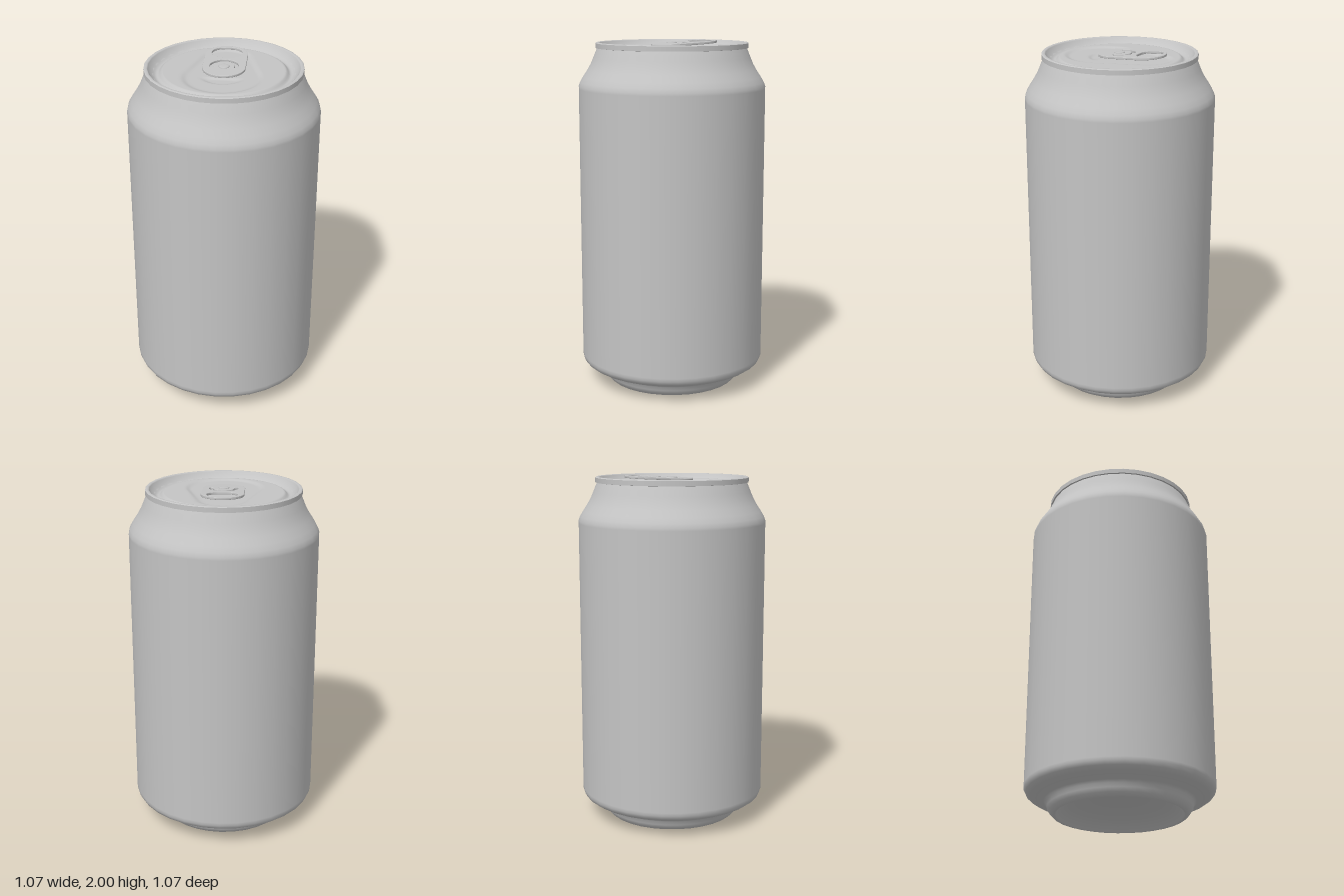
import * as THREE from 'three';

const SIDES = 32;

const smooth = (a, b, x) => THREE.MathUtils.smoothstep(x, a, b);

// Signed distance to a capsule along z with a narrow back end and a wide front end
function teardropDistance(x, z) {
  const back = -0.17, r1 = 0.14, r2 = 0.215, h = 0.27;
  const px = Math.abs(x), pz = z - back;
  const b = (r1 - r2) / h, a = Math.sqrt(1 - b * b);
  const k = -b * px + a * pz;
  if (k < 0) return Math.hypot(px, pz) - r1;
  if (k > a * h) return Math.hypot(px, pz - h) - r2;
  return px * a + pz * b - r1;
}

// Height of the pressed lid
function lidHeight(x, z) {
  const r = Math.hypot(x, z);
  const gutter = smooth(0.335, 0.362, r) * 0.02 - smooth(0.37, 0.395, r) * 0.012;
  const recess = 0.009 * (1 - smooth(-0.025, 0.01, teardropDistance(x, z)));
  // curved finger dent in front of the tab
  const bend = Math.hypot(x / 0.115, (z - 0.135 + x * x * 2.2) / 0.045);
  const dent = 0.008 * (1 - smooth(0.55, 1.1, bend));
  return 1.966 - gutter - recess - dent;
}

// Polar grid lifted by the lid height
function lidGeometry(radius, rings, segments) {
  const geo = new THREE.RingGeometry(0.0005, radius, segments, rings);
  geo.rotateX(-Math.PI / 2);
  const p = geo.attributes.position;
  for (let i = 0; i < p.count; i++) p.setY(i, lidHeight(p.getX(i), p.getZ(i)));
  geo.computeVertexNormals();
  return geo;
}

function roundedRect(target, x0, y0, x1, y1, r) {
  target.moveTo(x1, y0 + r);
  target.lineTo(x1, y1 - r);
  target.absarc(x1 - r, y1 - r, r, 0, Math.PI / 2, false);
  target.absarc(x0 + r, y1 - r, r, Math.PI / 2, Math.PI, false);
  target.absarc(x0 + r, y0 + r, r, Math.PI, Math.PI * 1.5, false);
  target.absarc(x1 - r, y0 + r, r, Math.PI * 1.5, Math.PI * 2, false);
  return target;
}

export function createModel() {
  const can = new THREE.Group();
  can.name = 'drinkCan';
  const aluminium = new THREE.MeshStandardMaterial({ color: 0xc4c4c4 });
  aluminium.name = 'aluminium';

  const add = (name, geometry, parent = can) => {
    const mesh = new THREE.Mesh(geometry, aluminium);
    mesh.name = name;
    parent.add(mesh);
    return mesh;
  };
  const lathe = (points, sides = SIDES) =>
    new THREE.LatheGeometry(points.map(([r, y]) => new THREE.Vector2(r, y)), sides);

  // Hollow dome under the can
  add('bottomDome', lathe([
    [0, 0.11], [0.1, 0.105], [0.2, 0.088], [0.28, 0.06], [0.33, 0.03], [0.352, 0.004], [0.36, 0],
  ]));

  // Standing ring and lower taper
  add('base', lathe([
    [0.36, 0], [0.375, 0.003], [0.39, 0.018], [0.405, 0.04], [0.409, 0.062], [0.425, 0.075],
    [0.465, 0.09], [0.5, 0.103], [0.524, 0.12], [0.535, 0.142], [0.535, 0.16],
  ]));

  // Straight wall
  add('body', lathe([[0.535, 0.16], [0.535, 1.73]]));

  // Shoulder and neck
  add('shoulder', lathe([
    [0.535, 1.73], [0.535, 1.745], [0.527, 1.768], [0.51, 1.797], [0.485, 1.835],
    [0.465, 1.87], [0.45, 1.905], [0.438, 1.935], [0.428, 1.958],
  ]));

  // Seamed rim, outer band and rolled top
  add('rimUnderside', lathe([[0.422, 1.957], [0.437, 1.959]]));
  add('rimBand', lathe([[0.437, 1.959], [0.437, 1.986]]));
  add('rimTop', lathe([
    [0.437, 1.986], [0.432, 1.99], [0.42, 1.99], [0.414, 1.985], [0.403, 1.965], [0.384, 1.952],
  ]));

  // Pressed lid with gutter, recess and finger dent
  add('lid', lidGeometry(0.395, 60, 96));

  // Pull tab, slightly raised at the back
  const tab = new THREE.Group();
  tab.name = 'pullTab';
  tab.position.y = 1.972;
  tab.rotation.x = 0.05;
  can.add(tab);

  const outline = roundedRect(new THREE.Shape(), -0.118, -0.12, 0.118, 0.275, 0.117);
  outline.holes.push(roundedRect(new THREE.Path(), -0.085, 0.12, 0.085, 0.25, 0.062));
  const slot = new THREE.Path();
  slot.absarc(0, 0.01, 0.08, -0.35, Math.PI + 0.35, false);
  slot.absarc(0, 0.01, 0.058, Math.PI + 0.35, -0.35, true);
  slot.closePath();
  outline.holes.push(slot);
  const plate = new THREE.ExtrudeGeometry(outline, {
    depth: 0.008, bevelEnabled: true, bevelThickness: 0.003, bevelSize: 0.003,
    bevelOffset: -0.003, bevelSegments: 2, curveSegments: 16,
  });
  plate.rotateX(-Math.PI / 2);
  plate.translate(0, 0.003, 0);
  add('tabPlate', plate, tab);

  // Rivet holding the tab
  add('rivet', lathe([
    [0.03, -0.014], [0.03, 0.015], [0.026, 0.018], [0.014, 0.0185], [0, 0.0185],
  ], 24), tab);

  return can;
}
